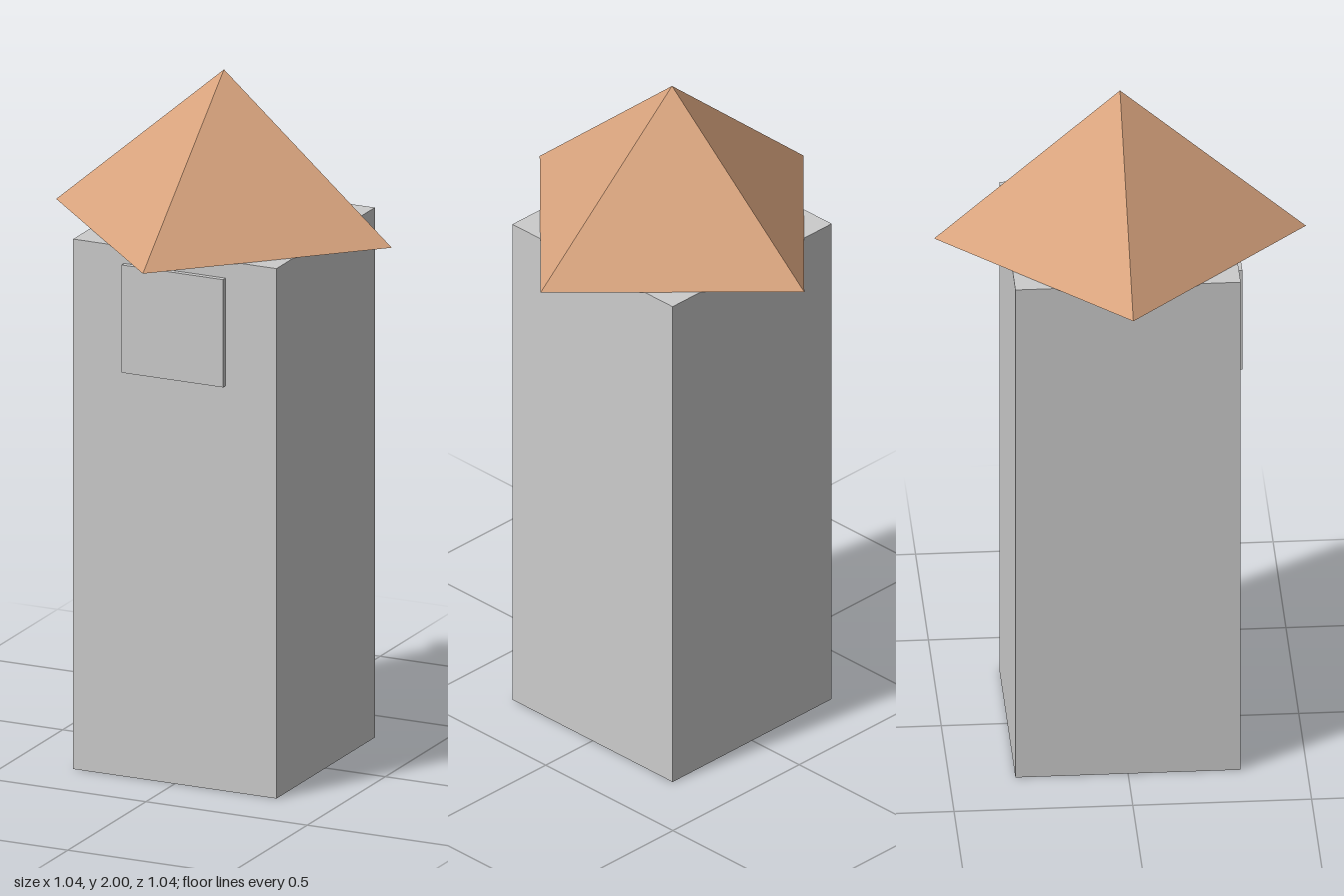
import * as THREE from 'three';

export function createModel() {
  const tower = new THREE.Group();
  tower.name = 'tower';
  const stone = new THREE.MeshStandardMaterial({ color: 0xcccccc, flatShading: true });
  const tile = new THREE.MeshStandardMaterial({ color: 0xd9a47e, flatShading: true });

  const add = (name, geometry, material, x, y, z) => {
    const mesh = new THREE.Mesh(geometry, material);
    mesh.name = name;
    mesh.position.set(x, y, z);
    tower.add(mesh);
  };

  const width = 0.63, wallHeight = 1.55, roofHeight = 0.45;

  // Square shaft
  add('shaft', new THREE.BoxGeometry(width, wallHeight, width), stone, 0, wallHeight / 2, 0);

  // Four-sided roof, its corners over the middle of each wall
  add('roof', new THREE.ConeGeometry(0.52, roofHeight, 4), tile, 0, wallHeight + roofHeight / 2, 0);

  // Shallow square panel on the front wall
  add('frontPanel', new THREE.BoxGeometry(0.315, 0.315, 0.03), stone, 0, 1.343, width / 2 + 0.001);

  return tower;
}
